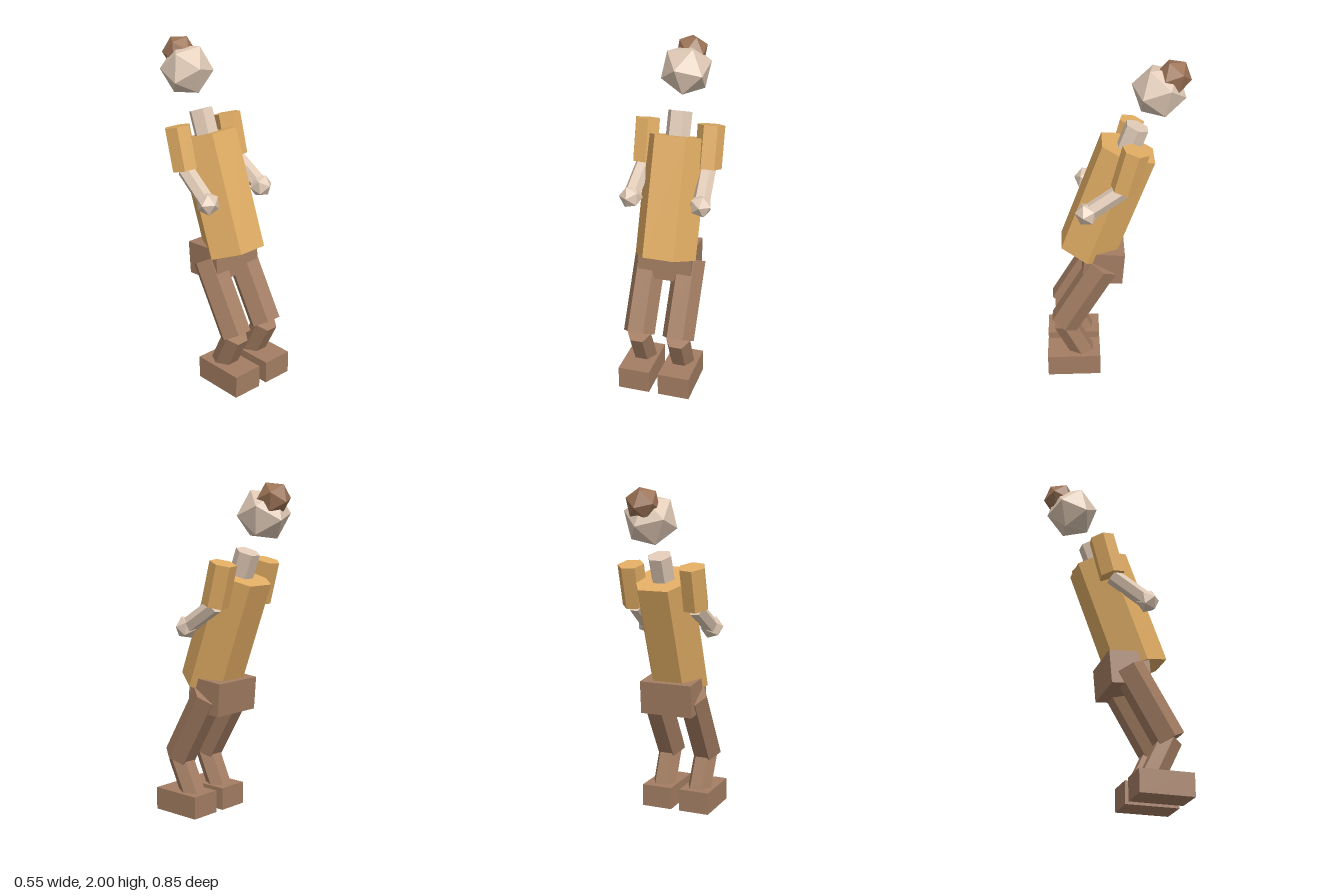
import * as THREE from 'three';

const V = (x, y, z) => new THREE.Vector3(x, y, z);

function material(name, color) {
  const m = new THREE.MeshStandardMaterial({ color, flatShading: true });
  m.name = name;
  return m;
}

export function createModel() {
  const model = new THREE.Group();
  model.name = 'lowPolyFigure';
  const shirt = material('golden shirt', 0xe0ac63);
  const skin = material('pale skin', 0xe0cab6);
  const cloth = material('brown cloth', 0xa37d62);
  const hair = material('brown hair', 0x9c7356);

  function add(name, geometry, mat, parent = model) {
    const mesh = new THREE.Mesh(geometry, mat);
    mesh.name = name;
    parent.add(mesh);
    return mesh;
  }

  // Hexagonal prism between two points; a flat side faces forward unless turned
  function prism(name, low, high, radius, mat, parent, turn = Math.PI / 6) {
    const axis = high.clone().sub(low);
    const geometry = new THREE.CylinderGeometry(radius, radius, axis.length(), 6, 1, false, turn);
    const mesh = add(name, geometry, mat, parent);
    mesh.position.copy(low).add(high).multiplyScalar(0.5);
    mesh.quaternion.setFromUnitVectors(V(0, 1, 0), axis.normalize());
    return mesh;
  }

  // Icosahedron turned so that two neighbouring corners point along a and b
  function ball(name, centre, radius, a, b, mat, parent) {
    const mesh = add(name, new THREE.IcosahedronGeometry(radius, 0), mat, parent);
    const y = a.clone().normalize().add(b.clone().normalize()).normalize();
    const x = b.clone().sub(a);
    x.addScaledVector(y, -x.dot(y)).normalize();
    mesh.quaternion.setFromRotationMatrix(new THREE.Matrix4().makeBasis(x, y, x.clone().cross(y)));
    mesh.position.copy(centre);
    return mesh;
  }

  function box(name, size, position, tilt, mat, parent) {
    const mesh = add(name, new THREE.BoxGeometry(...size), mat, parent);
    mesh.position.set(...position);
    mesh.rotation.x = tilt;
    return mesh;
  }

  // Leaning body
  prism('torso', V(0, 0.805, 0.168), V(0, 1.475, -0.08), 0.185, shirt);
  prism('neck', V(0, 1.42, -0.06), V(0, 1.611, -0.132), 0.073, skin);
  box('pelvis', [0.33, 0.2, 0.24], [0, 0.752, 0.07], -0.08, cloth);

  // Floating head with a bun at the back
  ball('head', V(0, 1.825, -0.25), 0.157, V(-0.03, 0.03, 0.15), V(0.055, 0.14, 0.055), skin);
  ball('hairBun', V(0.01, 1.915, -0.33), 0.1, V(-0.008, 0.075, -0.06), V(-0.086, 0, -0.055), hair);

  // Arms and legs, left side at +x
  for (const [side, s] of [['left', 1], ['right', -1]]) {
    const arm = new THREE.Group();
    arm.name = side + 'Arm';
    const elbow = V(s * 0.193, 1.308, -0.048);
    const wrist = V(s * 0.21, 1.165, 0.164);
    prism('sleeve', elbow, V(s * 0.193, 1.553, -0.114), 0.08, shirt, arm, -s * 0.326);
    prism('forearm', wrist, elbow, 0.05, skin, arm);
    ball('hand', wrist, 0.07, V(0.1 * s, 0.1, 1), V(0.3 * s, 0.95, 0.25), skin, arm);

    const leg = new THREE.Group();
    leg.name = side + 'Leg';
    const knee = V(s * 0.122, 0.344, 0.312);
    prism('thigh', knee, V(s * 0.122, 0.757, 0.07), 0.097, cloth, leg);
    prism('shin', V(s * 0.118, 0.08, 0.185), knee, 0.076, cloth, leg);
    box('foot', [0.192, 0.138, 0.325], [s * 0.124, 0.069, 0.258], 0, cloth, leg);
    model.add(arm, leg);
  }
  return model;
}
